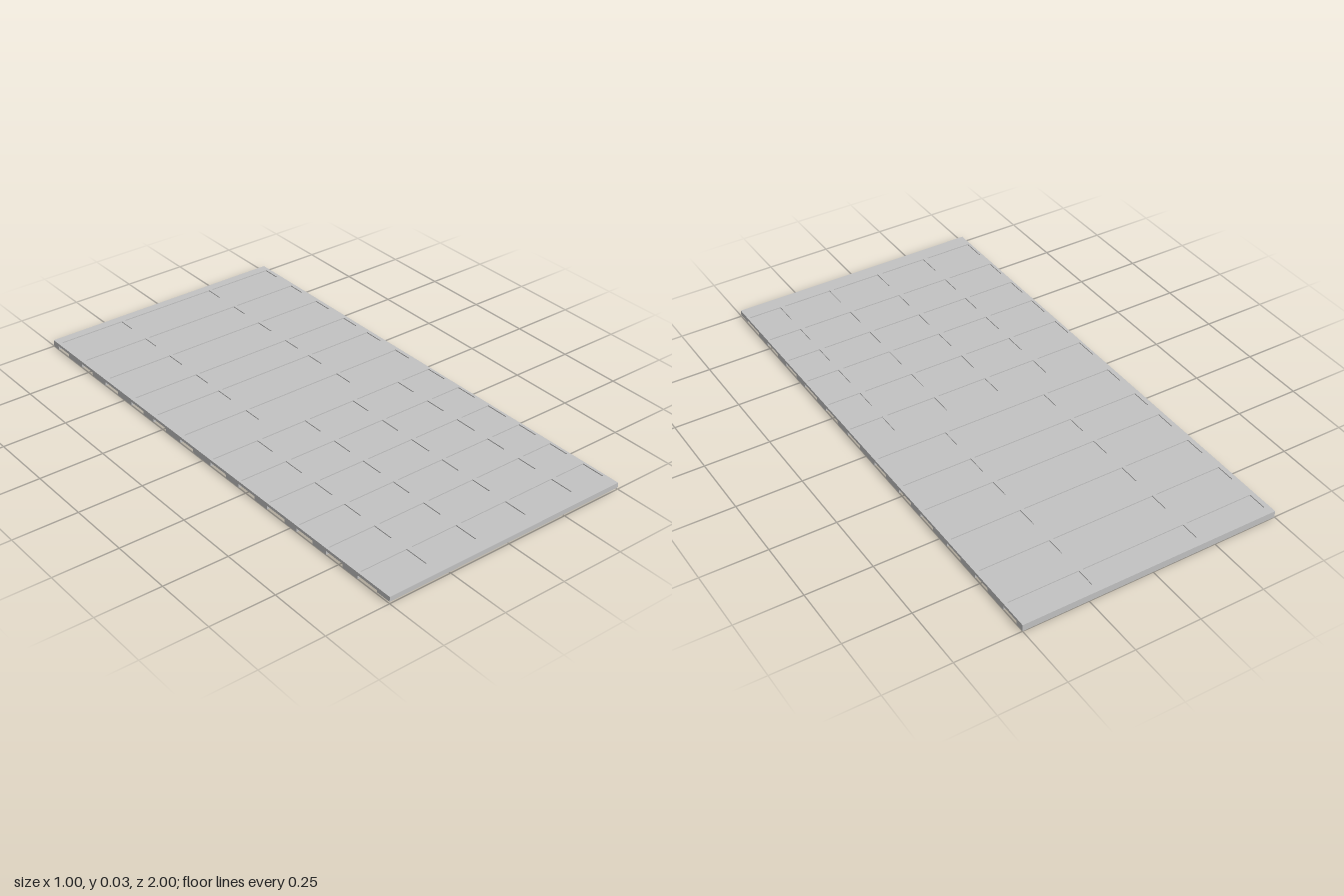
import * as THREE from 'three';

const TOP = 0.026;

export function createModel() {
  const group = new THREE.Group();
  const grey = new THREE.MeshStandardMaterial({ color: 0xc2c2c2 });
  grey.name = 'light grey';

  // Box given by its limits on each axis
  const block = (name, x0, x1, y0, y1, z0, z1) => {
    const mesh = new THREE.Mesh(new THREE.BoxGeometry(x1 - x0, y1 - y0, z1 - z0), grey);
    mesh.position.set((x0 + x1) / 2, (y0 + y1) / 2, (z0 + z1) / 2);
    mesh.name = name;
    group.add(mesh);
  };

  // Depth range of each row of panels, back to front
  const rows = [
    [-0.965, -0.89], [-0.795, -0.72], [-0.63, -0.545], [-0.455, -0.375], [-0.31, -0.23], [-0.14, -0.06],
    [0.045, 0.135], [0.21, 0.3], [0.37, 0.465], [0.53, 0.615], [0.685, 0.77], [0.845, 0.94],
  ];
  // Cross pieces between panels: three wide panels at the back, five at the front
  const wide = [[-0.5, -0.482], [-0.215, -0.2], [0.2, 0.215], [0.485, 0.5]];
  const narrow = [[-0.5, -0.49], [-0.3, -0.28], [-0.09, -0.07], [0.128, 0.145], [0.34, 0.36], [0.49, 0.5]];

  // Full-width slats fill the spaces between rows
  let back = -1;
  for (const [z0, z1] of rows) {
    block('slat', -0.5, 0.5, 0, TOP, back, z0);
    back = z1;
  }
  block('frontSlat', -0.5, 0.5, 0.007, TOP, back, 1);

  // Thin panels with short dividers in every row
  rows.forEach(([z0, z1], i) => {
    const dividers = i < 6 ? wide : narrow;
    dividers.forEach(([x0, x1], j) => {
      block('divider', x0, x1, 0.015, TOP, z0, z1);
      if (j) block('panel', dividers[j - 1][1], x0, 0.019, 0.022, z0, z1);
    });
  });

  return group;
}
